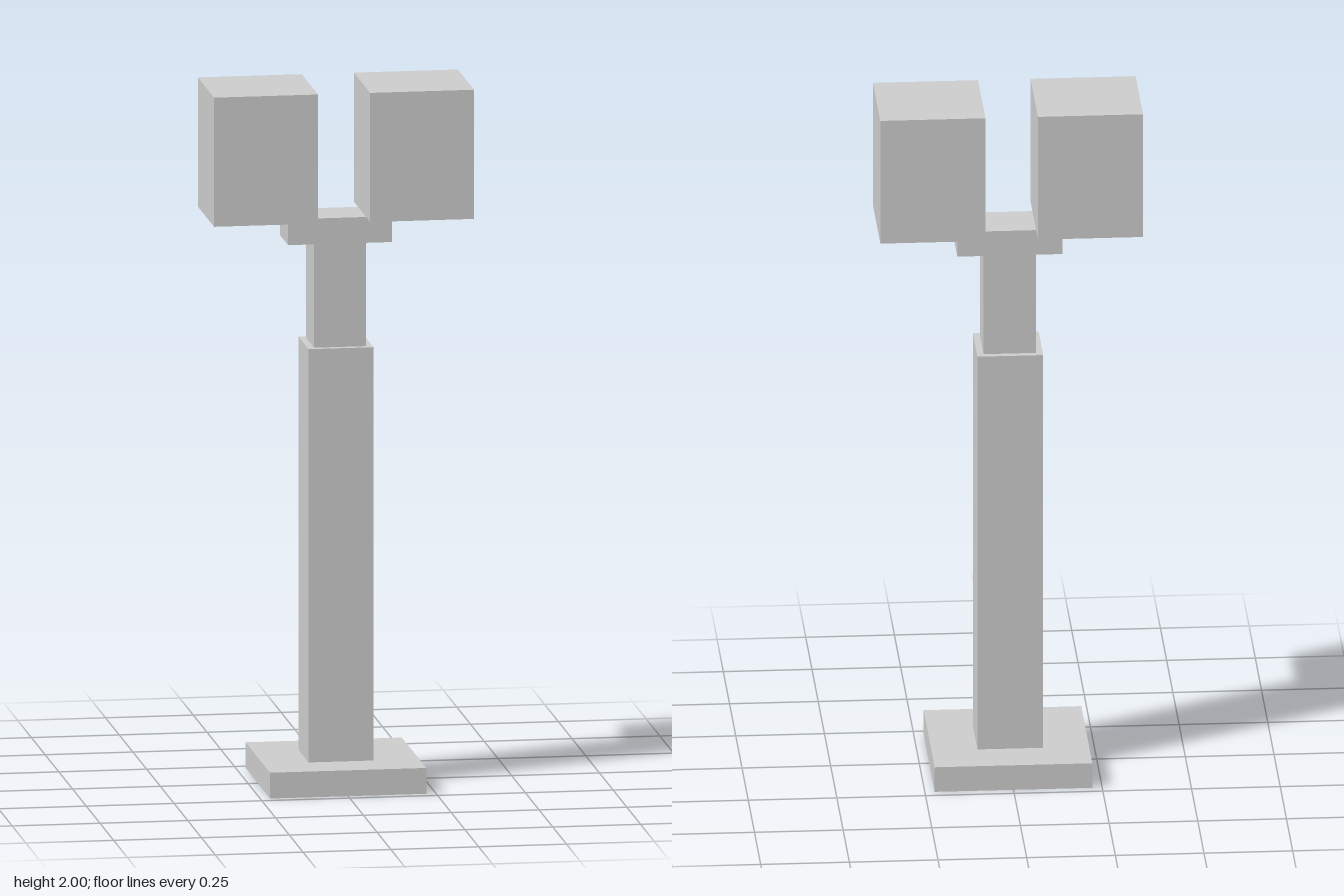
import * as THREE from 'three';

const U = 2 / 54; // the model is laid out on a grid 54 units high

export function createModel() {
  const root = new THREE.Group();
  const material = new THREE.MeshStandardMaterial({ color: 0xcccccc, flatShading: true });

  const add = (name, geometry, x, y, z, mat = material) => {
    const mesh = new THREE.Mesh(geometry, mat);
    mesh.name = name;
    mesh.position.set(x * U, y * U, z * U);
    root.add(mesh);
    return mesh;
  };
  const box = (w, h, d) => new THREE.BoxGeometry(w * U, h * U, d * U);

  // Foot plate: a thin shell, open underneath (the -y face is dropped)
  const baseGeometry = box(12, 2, 12);
  baseGeometry.setIndex([...baseGeometry.index.array].filter((_, i) => i < 18 || i >= 24));
  baseGeometry.clearGroups();
  const shellMaterial = material.clone();
  shellMaterial.side = THREE.DoubleSide;
  add('base', baseGeometry, 0, 1, 0, shellMaterial);

  // Square post
  add('post', box(5, 32, 5), 0, 18, 0);

  // T-shaped neck with its cross arm
  const outline = [[-2, 0], [2, 0], [2, 8], [4, 8], [4, 10], [-4, 10], [-4, 8], [-2, 8]];
  const tee = new THREE.Shape(outline.map(([x, y]) => new THREE.Vector2(x * U, y * U)));
  const teeGeometry = new THREE.ExtrudeGeometry(tee, { depth: 4 * U, bevelEnabled: false });
  add('neckAndArm', teeGeometry, 0, 34, -2);

  // Pair of lamp heads standing on the arm ends
  for (const [name, side] of [['leftHead', 1], ['rightHead', -1]]) {
    add(name, box(8, 10, 8), side * 6, 49, 0);
  }

  return root;
}
